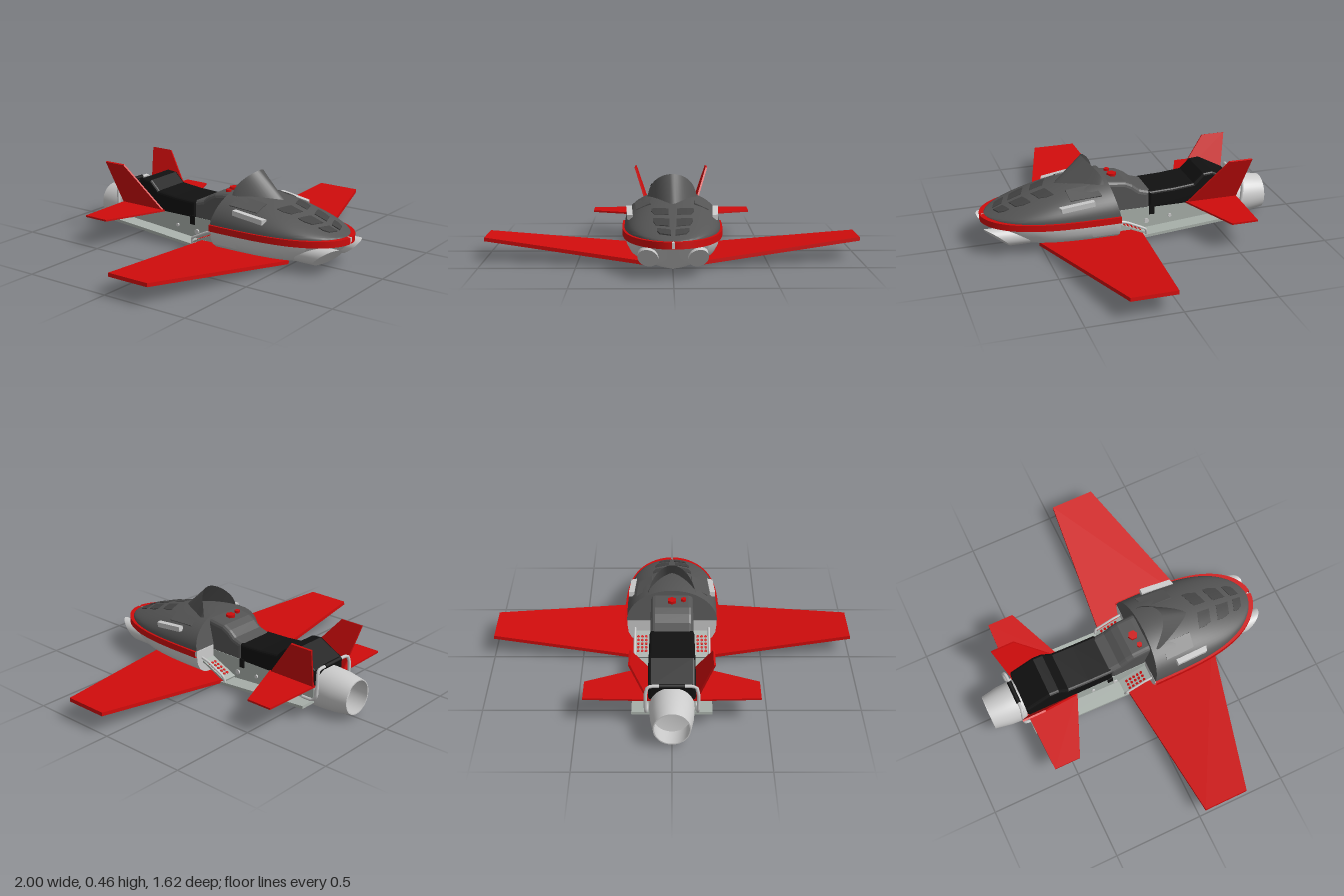
import * as THREE from 'three';
import { toCreasedNormals } from 'three/addons/utils/BufferGeometryUtils.js';

const V = (x, y, z) => new THREE.Vector3(x, y, z);
const paint = (color) => new THREE.MeshStandardMaterial({ color, side: THREE.DoubleSide });
const RED = paint(0xd00c0c), DARK = paint(0x555555), VENT = paint(0x444444);
const BLACK = paint(0x111111), LIGHT = paint(0xcccccc), PANEL = paint(0xa9b1ab);

export function createModel() {
  const model = new THREE.Group();
  const add = (name, geometry, material) => {
    const mesh = new THREE.Mesh(geometry, material);
    mesh.name = name;
    model.add(mesh);
    return mesh;
  };
  // Adds a left part and its mirror image on the right
  const pair = (name, geometry, material) => {
    add(name + 'Left', geometry, material);
    add(name + 'Right', geometry, material).scale.x = -1;
  };

  // Surface through rows of points
  const loft = (rows, crease = 0.6) => {
    const n = rows[0].length, index = [];
    for (let i = 0; i < rows.length - 1; i++) {
      for (let j = 0; j < n - 1; j++) {
        const a = i * n + j, b = a + n;
        index.push(a, b, a + 1, b, b + 1, a + 1);
      }
    }
    const g = new THREE.BufferGeometry().setFromPoints(rows.flat());
    g.setIndex(index);
    return toCreasedNormals(g, crease);
  };
  // Side outline given as [z, y], extruded across x
  const sideProfile = (pts, width, bevel = 0) => {
    const shape = new THREE.Shape(pts.map(([z, y]) => new THREE.Vector2(z, y)));
    const depth = width - 2 * bevel;
    const g = new THREE.ExtrudeGeometry(shape, {
      depth, bevelEnabled: bevel > 0, bevelSize: bevel, bevelOffset: -bevel, bevelThickness: bevel, bevelSegments: 3,
    });
    return g.translate(0, 0, -depth / 2).rotateY(-Math.PI / 2);
  };
  // Flat slab between four corners
  const plate = (rootFront, rootRear, tipFront, tipRear, thick) => {
    const g = new THREE.BoxGeometry(1, 1, 1), p = g.attributes.position;
    const n = tipFront.clone().sub(rootFront).cross(rootRear.clone().sub(rootFront)).normalize();
    for (let i = 0; i < p.count; i++) {
      const u = p.getX(i) + 0.5, v = p.getZ(i) + 0.5;
      const q = rootRear.clone().lerp(rootFront, v).lerp(tipRear.clone().lerp(tipFront, v), u);
      q.addScaledVector(n, p.getY(i) * thick);
      p.setXYZ(i, q.x, q.y, q.z);
    }
    g.computeVertexNormals();
    return g;
  };
  const tube = (pts, r) => new THREE.TubeGeometry(new THREE.CatmullRomCurve3(pts, false, 'catmullrom', 0.2), 48, r, 8);

  // Shared plan outline; s runs from the rear edge (0) to the nose (1)
  const width = (s) => 0.258 * Math.pow(Math.max(0, 1 - Math.pow(s, 3.5)), 0.55);
  const steps = Array.from({ length: 33 }, (_, i) => Math.sin((i / 32) * Math.PI / 2));
  const mirrored = (half) => [...half, ...half.slice(0, -1).reverse().map((p) => V(-p.x, p.y, p.z))];

  // Hood
  const rear = 0.09, nose = 0.785;
  const rise = (s) => 0.17 * (1 - Math.pow(s, 1.6));
  const hoodY = (x, z) => {
    const s = Math.max(0, (z - rear) / (nose - rear));
    return 0.19 + rise(s) * Math.sqrt(Math.max(0, 1 - (x / width(s)) ** 2));
  };
  const hood = steps.map((s) => Array.from({ length: 33 }, (_, j) => {
    const a = (j / 32) * Math.PI;
    return V((width(s) - 0.005 * (1 - s)) * Math.cos(a), 0.19 + rise(s) * Math.sin(a),
      rear + s * (nose - rear) + 0.04 * Math.sin(a) * (1 - s));
  }));
  hood.unshift(hood[0].map(() => V(0, 0.19, rear)));
  add('hood', loft(hood), DARK);

  // Lower hull with swept-back nose
  const section = [[0, 0.186], [0.97, 0.186], [0.97, 0.155], [0.95, 0.11], [0.88, 0.075], [0.75, 0.05], [0.5, 0.035], [0, 0.03]];
  const hullRow = (s) => {
    const half = section.map(([w, y]) => V(w * width(s), y, rear + s * (0.8 - Math.max(0, 0.155 - y) * 1.1 - rear)));
    return [...half, ...half.slice(0, -1).reverse().map((p) => V(-p.x, p.y, p.z))];
  };
  const hull = steps.map(hullRow);
  hull.unshift(hull[0].map(() => V(0, 0.11, rear)));
  add('lowerHull', loft(hull, 0.45), LIGHT);

  // Red bumper band
  const band = steps.map((s) => {
    const z = rear + s * (0.8 - rear), w = width(s), o = w + 0.008;
    return [V(w * 0.95, 0.155, z), V(o, 0.155, z + 0.01 * s), V(o, 0.19, z + 0.01 * s), V(w * 0.95, 0.19, z - 0.02 * s)];
  });
  pair('bumperBand', loft(band, 0.5), RED);

  // Slanted round intakes
  const intake = new THREE.CylinderGeometry(0.052, 0.052, 0.15, 28).rotateX(Math.PI / 2);
  const ip = intake.attributes.position;
  for (let i = 0; i < ip.count; i++) {
    if (ip.getZ(i) > 0) ip.setZ(i, 0.1 + 1.15 * ip.getY(i) - 0.6 * ip.getX(i));
  }
  intake.translate(0.125, 0.1, 0.645);
  pair('intake', toCreasedNormals(intake, 0.5), LIGHT);

  // Hood vents, following the hood surface
  for (const [z0, inner, outer, depth] of [[0.5, 0.022, 0.11, 0.075], [0.62, 0.017, 0.1, 0.075], [0.715, 0.012, 0.08, 0.05]]) {
    const g = new THREE.BoxGeometry(1, 1, 1, 4, 1, 4), p = g.attributes.position;
    for (let i = 0; i < p.count; i++) {
      const u = p.getX(i) + 0.5, v = p.getZ(i);
      const x = THREE.MathUtils.lerp(inner, outer - (v > 0 ? v * 0.03 : 0), u), z = z0 + v * depth - x * 0.35;
      p.setXYZ(i, x, hoodY(x, z) + (p.getY(i) > 0 ? 0.007 : -0.015), z);
    }
    pair('hoodVent', toCreasedNormals(g, 0.5), VENT);
  }

  // Shoulder scoops and side lamps
  pair('shoulderScoop', plate(V(0.11, 0.31, 0.36), V(0.11, 0.325, 0.2), V(0.185, 0.275, 0.35), V(0.195, 0.29, 0.18), 0.025), DARK);
  pair('sideLamp', plate(V(0.205, 0.253, 0.42), V(0.215, 0.277, 0.23), V(0.235, 0.253, 0.41), V(0.245, 0.277, 0.23), 0.028), LIGHT);

  // Open wraparound windshield
  const base = [], rim = [];
  for (let i = 0; i <= 32; i++) {
    const u = -Math.cos((i / 32) * Math.PI), x = 0.14 * u, z = 0.42 - 0.25 * Math.pow(Math.abs(u), 1.3);
    base.push(V(x, hoodY(x, z) - 0.01, z));
    rim.push(V(0.13 * u, 0.325 + 0.135 * Math.sqrt(1 - u * u), 0.24 - 0.09 * u * u));
  }
  add('windshield', loft([base, rim], 1), DARK);

  // Console and its knobs
  add('console', sideProfile([[0.16, 0.12], [0.16, 0.335], [0.1, 0.33], [0.02, 0.32], [-0.02, 0.3], [-0.06, 0.268], [-0.12, 0.25], [-0.12, 0.12]], 0.235, 0.025), DARK);
  for (const [x, z, r] of [[0, 0.07, 0.027], [-0.065, 0.08, 0.016]]) {
    add('knob', new THREE.CylinderGeometry(r, r, 0.02, 6).translate(x, 0.33, z), RED);
  }

  // Seat with raised back and hanging flaps
  add('seat', sideProfile([[-0.11, 0.15], [-0.11, 0.25], [-0.25, 0.255], [-0.37, 0.267], [-0.425, 0.32], [-0.48, 0.325], [-0.62, 0.25], [-0.62, 0.15]], 0.244, 0.015), BLACK);
  pair('seatFlap', new THREE.BoxGeometry(0.008, 0.05, 0.03).translate(0.123, 0.142, -0.125), BLACK);

  // Tunnel body and running boards
  add('tunnel', sideProfile([[0.12, 0.16], [0.12, 0.02], [-0.62, 0.08], [-0.62, 0.16]], 0.24), PANEL);
  pair('runningBoard', plate(V(0.115, 0.012, 0.16), V(0.115, 0.075, -0.62), V(0.21, 0.012, 0.16), V(0.21, 0.075, -0.62), 0.016), PANEL);
  pair('footrest', plate(V(0.12, 0.12, 0.1), V(0.12, 0.045, -0.07), V(0.205, 0.12, 0.1), V(0.205, 0.045, -0.07), 0.01), PANEL);
  for (let i = 0; i < 5; i++) {
    for (let j = 0; j < 3; j++) {
      const z = -0.035 + i * 0.022, slope = Math.atan2(0.075, 0.17);
      const dot = new THREE.CylinderGeometry(0.008, 0.008, 0.004, 10).rotateX(-slope);
      pair('footrestHole', dot.translate(0.145 + j * 0.022, 0.045 + (z + 0.07) * 0.075 / 0.17 + 0.006, z), RED);
    }
  }
  for (const [y, z, r] of [[0.08, -0.095, 0.014], [0.095, -0.23, 0.01]]) {
    pair('bolt', new THREE.CylinderGeometry(r, r, 0.012, 12).rotateZ(Math.PI / 2).translate(0.122, y, z), LIGHT);
  }
  pair('footGuard', tube([V(0.2, 0.04, -0.07), V(0.208, 0.075, -0.06), V(0.208, 0.125, 0.04), V(0.208, 0.14, 0.1)], 0.007), LIGHT);

  // Engine body with hollow nozzle
  const profile = [[0, 0.54], [0.05, 0.53], [0.09, 0.47], [0.108, 0.3], [0.116, 0.1], [0.117, -0.64], [0.112, -0.72], [0.096, -0.812], [0.09, -0.812], [0.1, -0.7], [0, -0.68]];
  const engine = new THREE.LatheGeometry(profile.map(([r, z]) => new THREE.Vector2(r, z)), 40);
  add('engine', toCreasedNormals(engine.rotateX(Math.PI / 2).translate(0, 0.12, 0), 0.5), LIGHT);

  // Rear grab bar
  const side = [V(0.125, 0.085, -0.55), V(0.132, 0.09, -0.62), V(0.135, 0.12, -0.65), V(0.135, 0.22, -0.655), V(0.125, 0.26, -0.65), V(0.1, 0.265, -0.645), V(0, 0.265, -0.645)];
  add('grabBar', tube(mirrored(side), 0.009), LIGHT);
  add('grabPad', new THREE.CylinderGeometry(0.013, 0.013, 0.13, 12).rotateZ(Math.PI / 2).translate(0, 0.265, -0.645), BLACK);

  // Wings, tailplanes and fins
  pair('wing', plate(V(0.13, 0.03, 0.515), V(0.13, 0.03, -0.055), V(1, 0.116, 0.275), V(1, 0.116, 0.028), 0.02), RED);
  pair('tailplane', plate(V(0.11, 0.16, -0.32), V(0.11, 0.16, -0.622), V(0.46, 0.16, -0.465), V(0.46, 0.16, -0.612), 0.01), RED);
  pair('tailFin', plate(V(0.123, 0.157, -0.33), V(0.123, 0.157, -0.62), V(0.213, 0.413, -0.54), V(0.213, 0.413, -0.672), 0.01), RED);
  return model;
}
